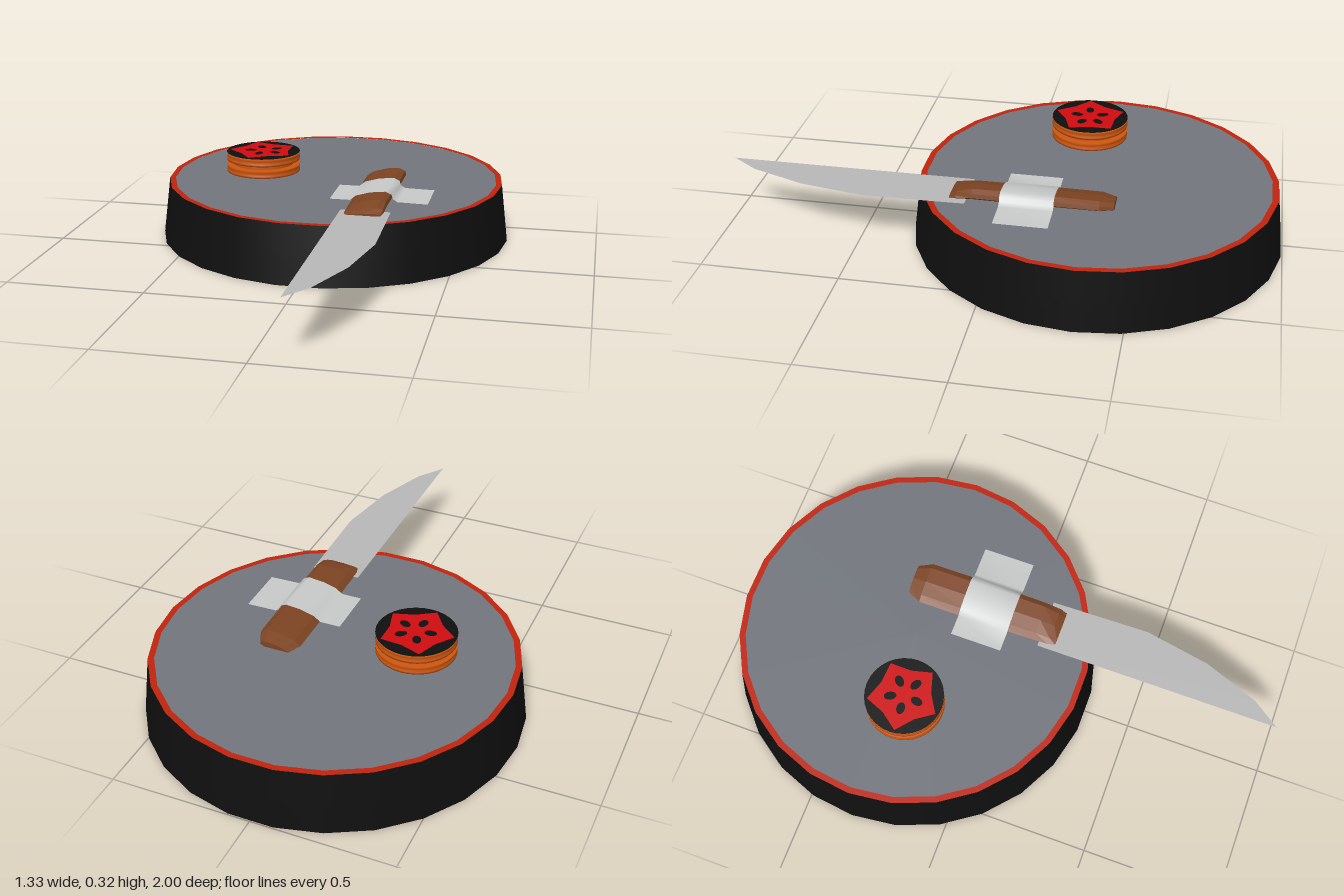
import * as THREE from 'three';

const mat = (name, color, extra = {}) => {
  const m = new THREE.MeshStandardMaterial({ color, ...extra });
  m.name = name;
  return m;
};

export function createModel() {
  const black = mat('black casing', 0x0f0f0f);
  const grey = mat('slate grey', 0x72767d);
  const rimRed = mat('rim red', 0xc0240e);
  const markRed = mat('mark red', 0xd00c10);
  const orange = mat('orange', 0xcc560f);
  const brown = mat('handle brown', 0x7d4422, { flatShading: true });
  const steel = mat('blade steel', 0xb8b8b8, { side: THREE.DoubleSide });
  const tapeMat = mat('tape', 0xc8caca, { side: THREE.DoubleSide });

  const model = new THREE.Group();
  const add = (parent, name, geometry, material, x = 0, y = 0, z = 0) => {
    const mesh = new THREE.Mesh(geometry, material);
    mesh.name = name;
    mesh.position.set(x, y, z);
    parent.add(mesh);
    return mesh;
  };
  const lathe = (pts, n) =>
    new THREE.LatheGeometry(pts.map(p => new THREE.Vector2(...p)), n, Math.PI / 2);
  const flat = (geometry, up = 1) => geometry.rotateX(-up * Math.PI / 2);
  const shape = pts => new THREE.Shape(pts.map(p => new THREE.Vector2(...p)));

  // Large tapered disc with a red rim and grey faces
  const base = new THREE.Group();
  base.name = 'baseDisc';
  base.position.z = -0.333;
  model.add(base);
  const n = 26;
  add(base, 'casing', lathe([[0.667, 0], [0.654, 0.105], [0.64, 0.217]], n), black);
  add(base, 'rim', flat(new THREE.RingGeometry(0.618, 0.64, n)), rimRed, 0, 0.217);
  add(base, 'topFace', flat(new THREE.CircleGeometry(0.619, n)), grey, 0, 0.2165);
  add(base, 'underside', flat(new THREE.CircleGeometry(0.667, n), -1), grey);

  // Small floating double-rimmed puck
  const puck = new THREE.Group();
  puck.name = 'puck';
  puck.position.set(-0.27, 0, -0.263);
  model.add(puck);
  for (const y of [0.247, 0.292]) {
    add(puck, 'puckRing', lathe([[0, 0], [0.14, 0], [0.14, 0.008], [0.136, 0.014],
      [0.14, 0.02], [0.14, 0.028], [0, 0.028]], 32), orange, 0, y);
  }
  add(puck, 'puckCore', new THREE.CylinderGeometry(0.115, 0.115, 0.02, 32, 1, true), orange, 0, 0.283);
  add(puck, 'puckTop', flat(new THREE.CircleGeometry(0.14, 32)), black, 0, 0.3215);

  // Pointed patch with round openings
  const patch = [];
  for (let i = 0; i < 10; i++) {
    const a = 2.0 + i * Math.PI / 5, r = i % 2 ? 0.095 : 0.13;
    patch.push([Math.cos(a) * r, Math.sin(a) * r]);
  }
  const patchShape = shape(patch);
  for (let i = 0; i < 5; i++) {
    const a = 0.75 + i * Math.PI * 0.4;
    const hole = new THREE.Path();
    hole.absellipse(Math.cos(a) * 0.053 + 0.005, Math.sin(a) * 0.05, 0.022, 0.015, 0, Math.PI * 2, true, a);
    patchShape.holes.push(hole);
  }
  add(puck, 'puckPatch', flat(new THREE.ShapeGeometry(patchShape, 8)), markRed, 0, 0.3235);

  // Knife blade, lying flat (shape y runs along -z)
  const knife = new THREE.Group();
  knife.name = 'knife';
  model.add(knife);
  add(knife, 'blade', flat(new THREE.ShapeGeometry(shape([[0.105, -0.1], [0.105, -1],
    [0.175, -0.9], [0.25, -0.7], [0.293, -0.46], [0.285, -0.1]]))), steel, 0, 0.218);

  // Handle: one cross-section lofted along z, shrinking at both ends
  const section = [[0.118, 0.217], [0.25, 0.217], [0.27, 0.231], [0.266, 0.246],
    [0.245, 0.256], [0.19, 0.25], [0.14, 0.235]];
  const stations = [[-0.415, 0.7, 0.6], [-0.365, 1, 0.92], [-0.2, 1, 1],
    [0.08, 0.95, 1], [0.135, 0.95, 0.6], [0.16, 0.85, 0.25]];
  const k = section.length, pos = [], index = [];
  for (const [z, sx, sy] of stations) {
    for (const [x, y] of section) pos.push(0.194 + (x - 0.194) * sx, 0.217 + (y - 0.217) * sy, z);
  }
  for (let s = 0; s < stations.length - 1; s++) {
    for (let i = 0; i < k; i++) {
      const a = s * k + i, b = s * k + (i + 1) % k;
      index.push(a, b, b + k, a, b + k, a + k);
    }
  }
  const last = (stations.length - 1) * k;
  for (let i = 1; i < k - 1; i++) index.push(0, i + 1, i, last, last + i, last + i + 1);
  const handle = new THREE.BufferGeometry();
  handle.setAttribute('position', new THREE.Float32BufferAttribute(pos, 3));
  handle.setIndex(index);
  handle.computeVertexNormals();
  add(knife, 'handle', handle, brown);

  // Tape strip draped over the handle
  const over = [[0.04, 0.2185], [0.115, 0.2185], [0.138, 0.2365], [0.19, 0.2515], [0.246, 0.2575],
    [0.268, 0.2475], [0.273, 0.231], [0.29, 0.2205], [0.4, 0.2185]];
  const tape = new THREE.PlaneGeometry(1, 0.19, over.length - 1, 1).rotateX(-Math.PI / 2);
  const tp = tape.attributes.position;
  for (let i = 0; i < tp.count; i++) {
    const [x, y] = over[i % over.length];
    tp.setXYZ(i, x, y, tp.getZ(i) - 0.115);
  }
  tape.computeVertexNormals();
  add(knife, 'tape', tape, tapeMat);

  return model;
}
